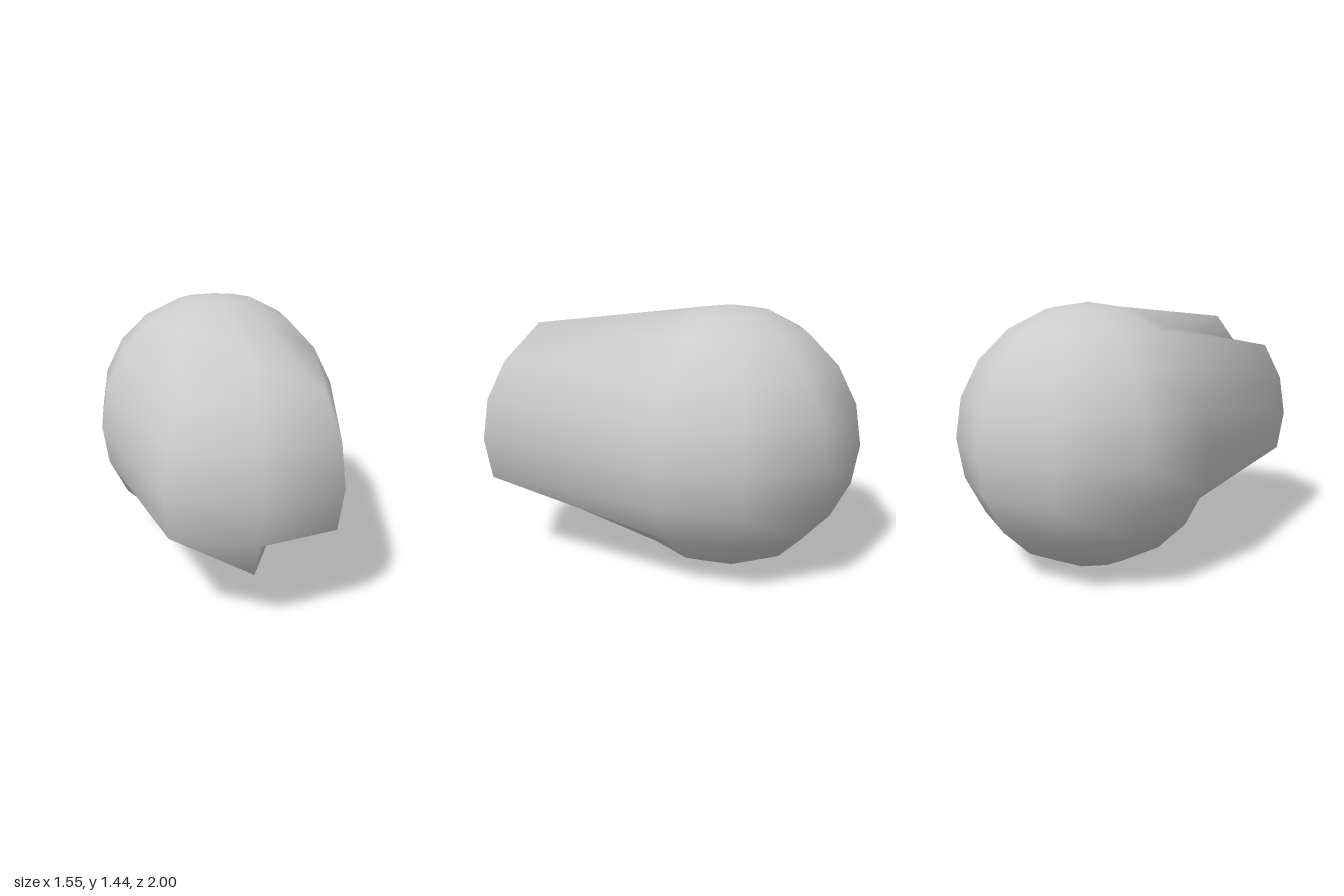
import * as THREE from 'three';

const RADIUS = 0.72;
const SEGMENTS = 10; // around and from pole to pole
const PULL = new THREE.Vector3(0.243, 0, 0.63);

// Columns of the sphere pulled forward: [column, first row, last row]
const PULLED = [
  [2, 3, 6],
  [3, 2, 7],
  [4, 3, 6],
];

export function createModel() {
  const group = new THREE.Group();
  group.name = 'stretchedBall';

  // Round body; the smooth sphere normals are kept after the pull
  const geometry = new THREE.SphereGeometry(RADIUS, SEGMENTS, SEGMENTS);
  const position = geometry.attributes.position;

  // Blunt snout: a patch of the front drawn out to one side
  for (const [column, first, last] of PULLED) {
    for (let row = first; row <= last; row++) {
      const i = row * (SEGMENTS + 1) + column;
      position.setXYZ(
        i,
        position.getX(i) + PULL.x,
        position.getY(i) + PULL.y,
        position.getZ(i) + PULL.z
      );
    }
  }
  geometry.translate(-0.055, RADIUS, -0.315);

  const body = new THREE.Mesh(geometry, new THREE.MeshStandardMaterial({ color: 0xcccccc }));
  body.name = 'body';
  group.add(body);
  return group;
}
